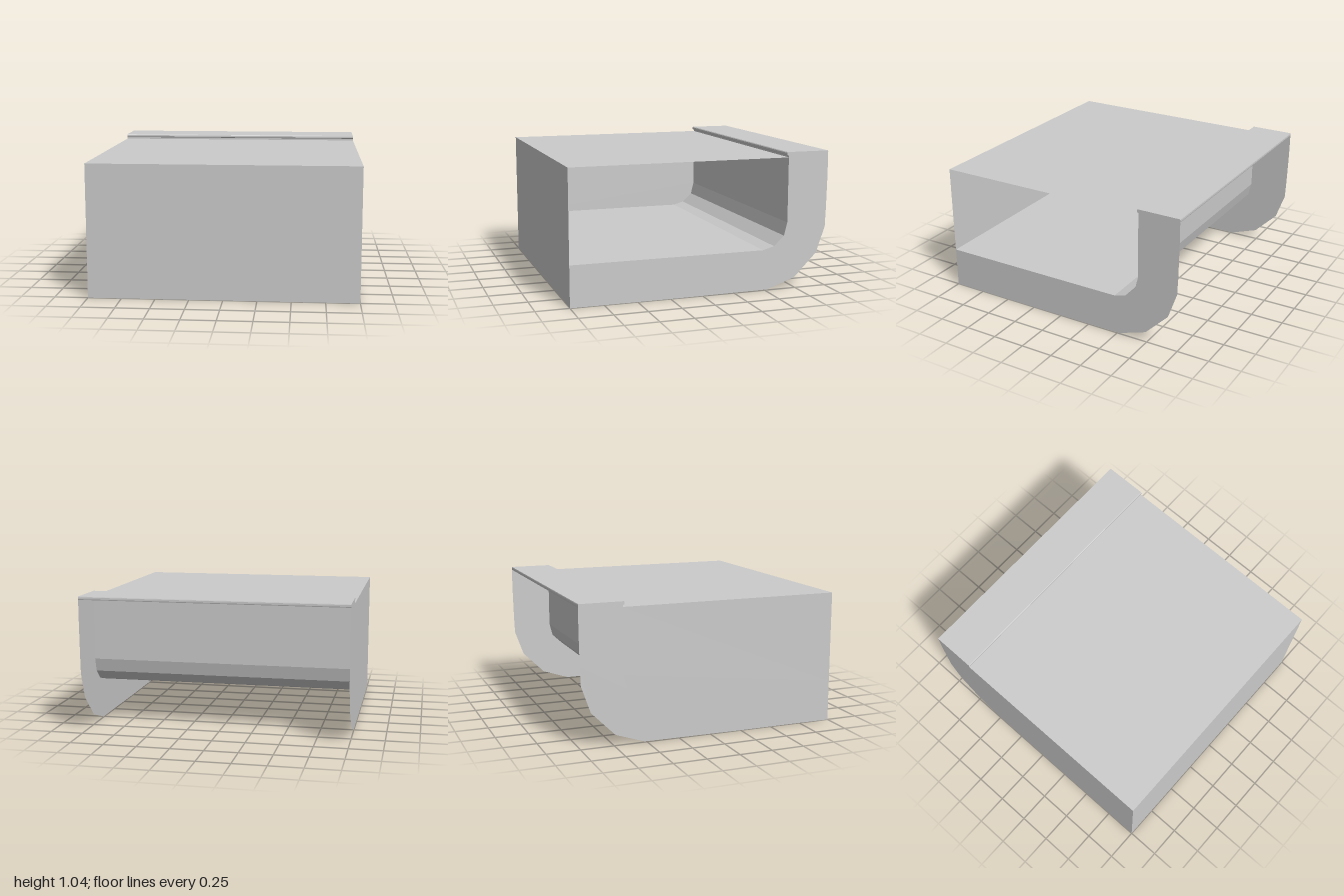
import * as THREE from 'three';

// Profiles run in (u, y), where u points to the back (u = -z).
const OUTER = [[-1, 0], [-0.2, 0], [0.52, 0.005], [0.74, 0.08], [0.92, 0.26], [0.99, 0.46], [0.995, 0.6], [1, 0.85], [1, 1.015]];
const INNER = [[-1, 0.31], [0.48, 0.31], [0.57, 0.335], [0.65, 0.41], [0.675, 0.51], [0.675, 1.015]];
const LIP = [[0.668, 1.015], [0.998, 1.015], [1, 1.021], [1, 1.034], [0.998, 1.04], [0.668, 1.04], [0.663, 1.034], [0.663, 1.021]];

const material = new THREE.MeshStandardMaterial({ color: 0xcccccc, flatShading: true, side: THREE.DoubleSide });

const toShape = (points) => new THREE.Shape(points.map(([u, y]) => new THREE.Vector2(u, y)));

export function createModel() {
  const group = new THREE.Group();

  const add = (name, geometry) => {
    const mesh = new THREE.Mesh(geometry, material);
    mesh.name = name;
    group.add(mesh);
    return mesh;
  };

  // Thin sheet: an open profile swept across the full width
  const sheet = (name, profile) => {
    const positions = [];
    for (let i = 0; i < profile.length - 1; i++) {
      const [u0, y0] = profile[i];
      const [u1, y1] = profile[i + 1];
      const a = [-1, y0, -u0], b = [1, y0, -u0], c = [1, y1, -u1], d = [-1, y1, -u1];
      positions.push(...a, ...b, ...c, ...a, ...c, ...d);
    }
    const geometry = new THREE.BufferGeometry();
    geometry.setAttribute('position', new THREE.Float32BufferAttribute(positions, 3));
    geometry.computeVertexNormals();
    return add(name, geometry);
  };

  // Flat panel standing at a given x, facing outwards
  const panel = (name, points, x) => {
    const geometry = new THREE.ShapeGeometry(toShape(points));
    geometry.rotateY(Math.PI / 2);
    if (x < 0) {
      // turn the faces towards -x
      const index = geometry.index.array;
      for (let i = 0; i < index.length; i += 3) [index[i], index[i + 1]] = [index[i + 1], index[i]];
      geometry.computeVertexNormals();
    }
    geometry.translate(x, 0, 0);
    return add(name, geometry);
  };

  // Curved floor rising into the back wall
  sheet('curvedFloor', INNER);

  // Front wall and top plate
  sheet('frontWall', [[-1, 0], [-1, 1]]);
  sheet('topPlate', [[-1, 1], [0.675, 1]]);

  // Curved side bands, left and right
  const band = [...OUTER, ...[...INNER].reverse()];
  panel('leftBand', band, 1);
  panel('rightBand', band, -1);

  // The right side is closed above the band, the left side stays open
  panel('rightWall', [...INNER.slice(0, -1), [0.675, 1], [-1, 1]], -1);

  // Lip along the top of the back
  const lip = new THREE.ExtrudeGeometry(toShape(LIP), { depth: 2, bevelEnabled: false });
  lip.rotateY(Math.PI / 2);
  lip.translate(-1, 0, 0);
  add('backLip', lip);

  return group;
}
